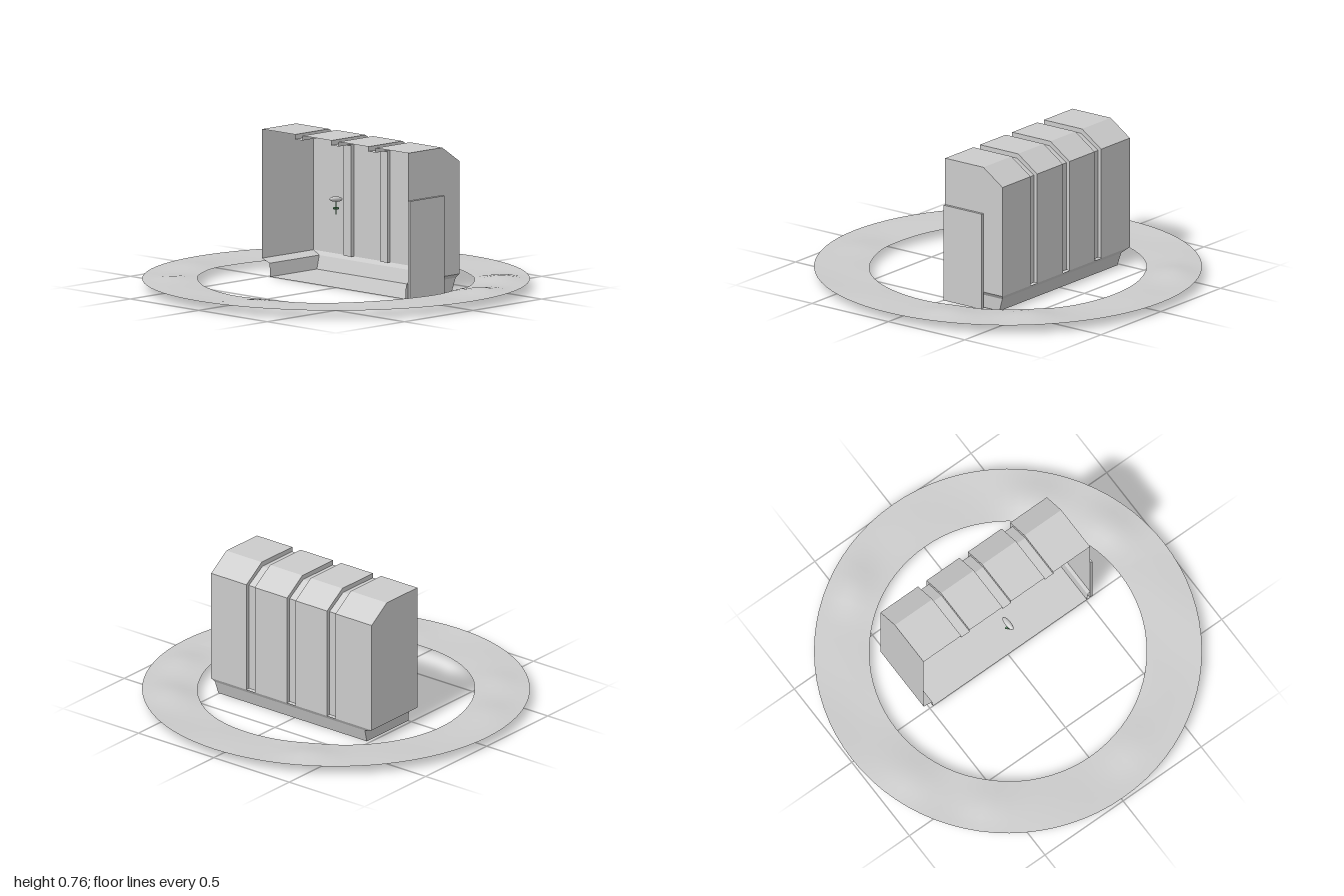
import * as THREE from 'three';

const grey = new THREE.MeshStandardMaterial({ color: 0xcccccc, side: THREE.DoubleSide });
const flat = new THREE.MeshStandardMaterial({ color: 0xcccccc, side: THREE.DoubleSide, flatShading: true });
const green = new THREE.MeshStandardMaterial({ color: 0x4f8a5b, side: THREE.DoubleSide });

function add(parent, name, geometry, material, x = 0, y = 0, z = 0) {
  const mesh = new THREE.Mesh(geometry, material);
  mesh.name = name;
  mesh.position.set(x, y, z);
  parent.add(mesh);
  return mesh;
}

// Skin over matching cross-sections, each a list of [x, y, z]
function loft(sections) {
  const p = [];
  for (let i = 0; i + 1 < sections.length; i++) {
    const s = sections[i], t = sections[i + 1];
    for (let j = 0; j + 1 < s.length; j++) {
      p.push(...s[j], ...t[j], ...t[j + 1], ...s[j], ...t[j + 1], ...s[j + 1]);
    }
  }
  const g = new THREE.BufferGeometry();
  g.setAttribute('position', new THREE.Float32BufferAttribute(p, 3));
  g.computeVertexNormals();
  return g;
}

// Roof, chamfer and back wall profile; grooves use the inset one
const profile = (x, dy, dz) => [
  [x, 0.765 - dy, 0],
  [x, 0.765 - dy, -0.25 + dz * 0.3],
  [x, 0.68 - dy * 0.4, -0.375 + dz],
  [x, 0.09, -0.375 + dz],
];

function buildShell(group) {
  const panels = [[-0.54, -0.3], [-0.245, -0.035], [0.02, 0.235], [0.29, 0.525]];
  const sections = [];
  panels.forEach(([a, b], i) => {
    if (i > 0) sections.push(profile(a, 0.025, 0.02));
    sections.push(profile(a, 0, 0), profile(b, 0, 0));
    if (i < panels.length - 1) sections.push(profile(b, 0.025, 0.02));
  });
  add(group, 'ribbedShell', loft(sections), flat);

  // End walls, drawn in the z-y plane and turned to face x
  const outline = new THREE.Shape([
    [0, 0.09], [0.375, 0.09], [0.375, 0.68], [0.25, 0.765], [0, 0.765],
  ].map(([u, v]) => new THREE.Vector2(u, v)));
  for (const [name, x] of [['rightWall', -0.54], ['leftWall', 0.525]]) {
    const g = new THREE.ShapeGeometry(outline).rotateY(Math.PI / 2);
    add(group, name, g, flat, x);
  }
}

// Tray below the shell: ledge, leaning skirt and floor as U-shaped rings
function buildTray(group) {
  const ring = (x0, x1, z, y, yEnd = y) => [
    [x0, yEnd, 0], [x0, y, z], [x1, y, z], [x1, yEnd, 0],
  ];
  add(group, 'tray', loft([
    ring(-0.54, 0.525, -0.375, 0.09),
    ring(-0.485, 0.51, -0.362, 0.07),
    ring(-0.48, 0.505, -0.34, 0),
  ]), flat);
  add(group, 'trayFloor', loft([
    [[-0.48, 0, 0], [0.525, 0, 0]],
    [[-0.48, 0, -0.34], [0.505, 0, -0.34]],
  ]), flat);
}

// Uneven ground ring with a few mounds [x, z, height]
function buildRing(group) {
  const g = new THREE.RingGeometry(0.715, 1, 80, 8).rotateX(-Math.PI / 2);
  const mounds = [[0.86, -0.25, 0.03], [-0.45, -0.8, 0.032], [0.62, -0.62, 0.022],
    [-0.62, 0.62, 0.016], [0.2, 0.82, 0.012], [-0.84, 0.27, 0.012]];
  const pos = g.attributes.position;
  for (let i = 0; i < pos.count; i++) {
    const x = pos.getX(i), z = pos.getZ(i);
    const a = Math.atan2(z, x), r = Math.hypot(x, z);
    const t = (r - 0.715) / 0.285;
    let y = 0.042 + 0.006 * t + 0.005 * Math.sin(3 * a + 1) * (1 - t)
      + 0.004 * Math.sin(7 * a) * Math.sin(Math.PI * t);
    for (const [mx, mz, h] of mounds) {
      y += h * (1 - t * t) * 1.3 * Math.exp(-((x - mx) ** 2 + (z - mz) ** 2) / 0.018);
    }
    pos.setY(i, y);
  }
  g.computeVertexNormals();
  add(group, 'groundRing', g, grey);
}

// Tiny hanging ornament: pod above a leafy green stem
function buildOrnament(group) {
  const ornament = new THREE.Group();
  ornament.name = 'ornament';
  const pod = add(ornament, 'pod', new THREE.SphereGeometry(1, 14, 10), grey, 0, 0.463, 0);
  pod.scale.set(0.016, 0.014, 0.045);
  pod.rotation.x = -0.12;
  add(ornament, 'stem', new THREE.CylinderGeometry(0.003, 0.003, 0.075, 6), green, 0, 0.42, 0);
  for (let i = 0; i < 4; i++) {
    const a = i * Math.PI / 2;
    const leaf = add(ornament, 'leaf', new THREE.SphereGeometry(1, 8, 6), green,
      0.01 * Math.cos(a), 0.415, 0.01 * Math.sin(a));
    leaf.scale.set(0.01, 0.005, 0.006);
    leaf.rotation.y = -a;
  }
  group.add(ornament);
}

export function createModel() {
  const group = new THREE.Group();
  group.name = 'openCabinet';
  buildShell(group);
  buildTray(group);
  // Raised plate on the left side
  add(group, 'sidePlate', new THREE.BoxGeometry(0.015, 0.515, 0.25), flat, 0.5325, 0.2575, -0.125);
  buildRing(group);
  buildOrnament(group);
  return group;
}
